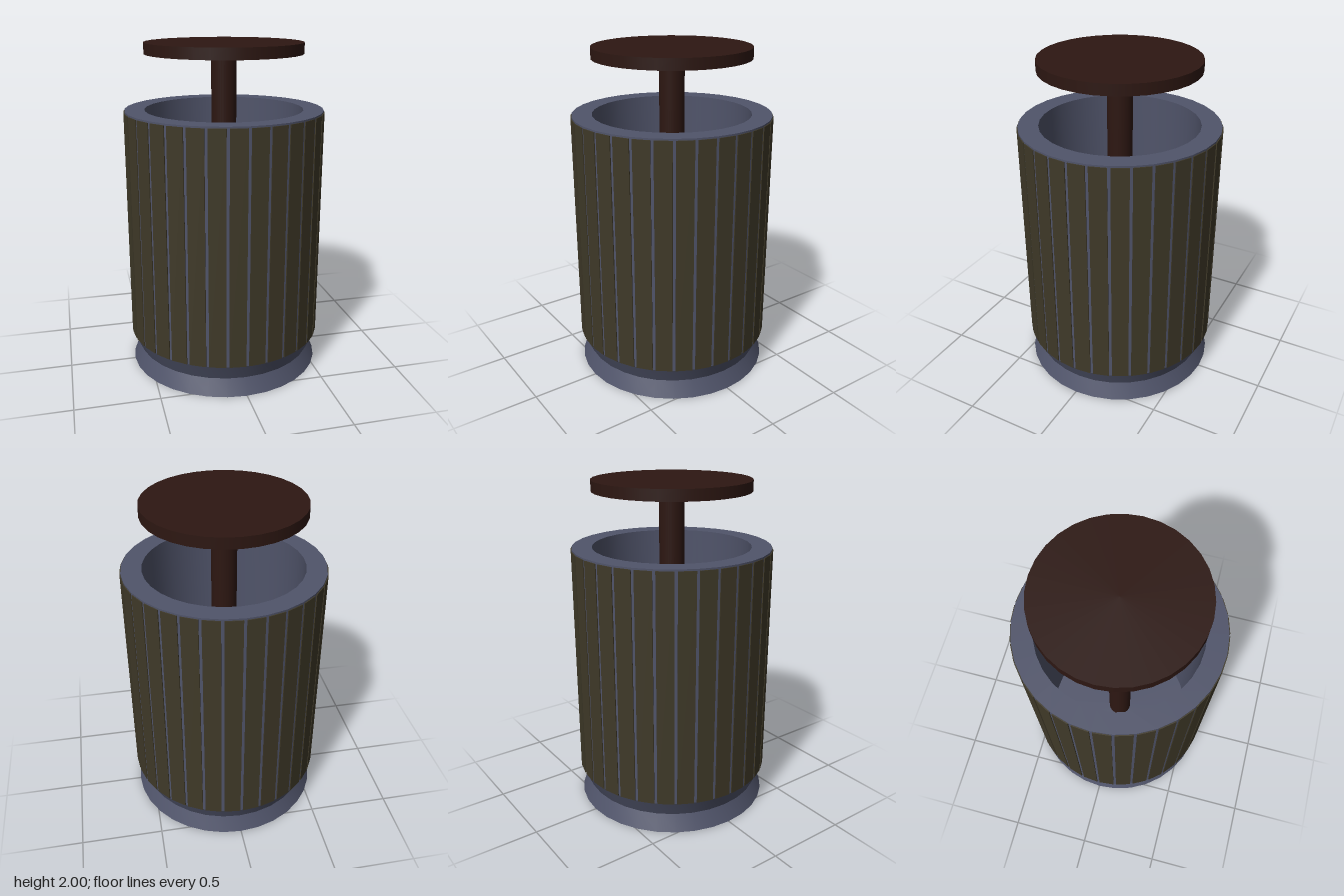
import * as THREE from 'three';
import { toCreasedNormals } from 'three/addons/utils/BufferGeometryUtils.js';

const SIDES = 32;

export function createModel() {
  const group = new THREE.Group();
  const bodyMat = new THREE.MeshStandardMaterial({ color: 0x50546a });
  const slatMat = new THREE.MeshStandardMaterial({ color: 0x3f3928 });
  const plungerMat = new THREE.MeshStandardMaterial({ color: 0x2d1712 });

  const add = (name, geometry, material, parent = group) => {
    const mesh = new THREE.Mesh(geometry, material);
    mesh.name = name;
    parent.add(mesh);
    return mesh;
  };

  // Hollow canister: flared foot, narrow waist, straight wall, rim and inner floor
  const profile = [
    [0, 0], [0.592, 0], [0.55, 0.1], [0.595, 0.2], [0.595, 1.61],
    [0.475, 1.61], [0.475, 0.2], [0, 0.2],
  ].map(([r, y]) => new THREE.Vector2(r, y));
  add('canister', toCreasedNormals(new THREE.LatheGeometry(profile, SIDES), 0.35), bodyMat);

  // Ring of thin flat slats, one per side of the canister
  const slats = new THREE.Group();
  slats.name = 'slats';
  group.add(slats);
  const slatGeo = new THREE.BoxGeometry(0.1, 1.4, 0.02);
  for (let i = 0; i < SIDES; i++) {
    const a = ((i + 0.5) / SIDES) * Math.PI * 2;
    const slat = add('slat', slatGeo, slatMat, slats);
    slat.position.set(Math.sin(a) * 0.588, 0.9, Math.cos(a) * 0.588);
    slat.rotation.y = a;
  }

  // Plunger: rod standing on the inner floor, with a round plate on top
  const rod = add('plungerRod', new THREE.CylinderGeometry(0.075, 0.075, 1.74, SIDES), plungerMat);
  rod.position.y = 1.07;
  const plate = add('plungerPlate', new THREE.CylinderGeometry(0.47, 0.47, 0.065, SIDES), plungerMat);
  plate.position.y = 1.9675;

  return group;
}
